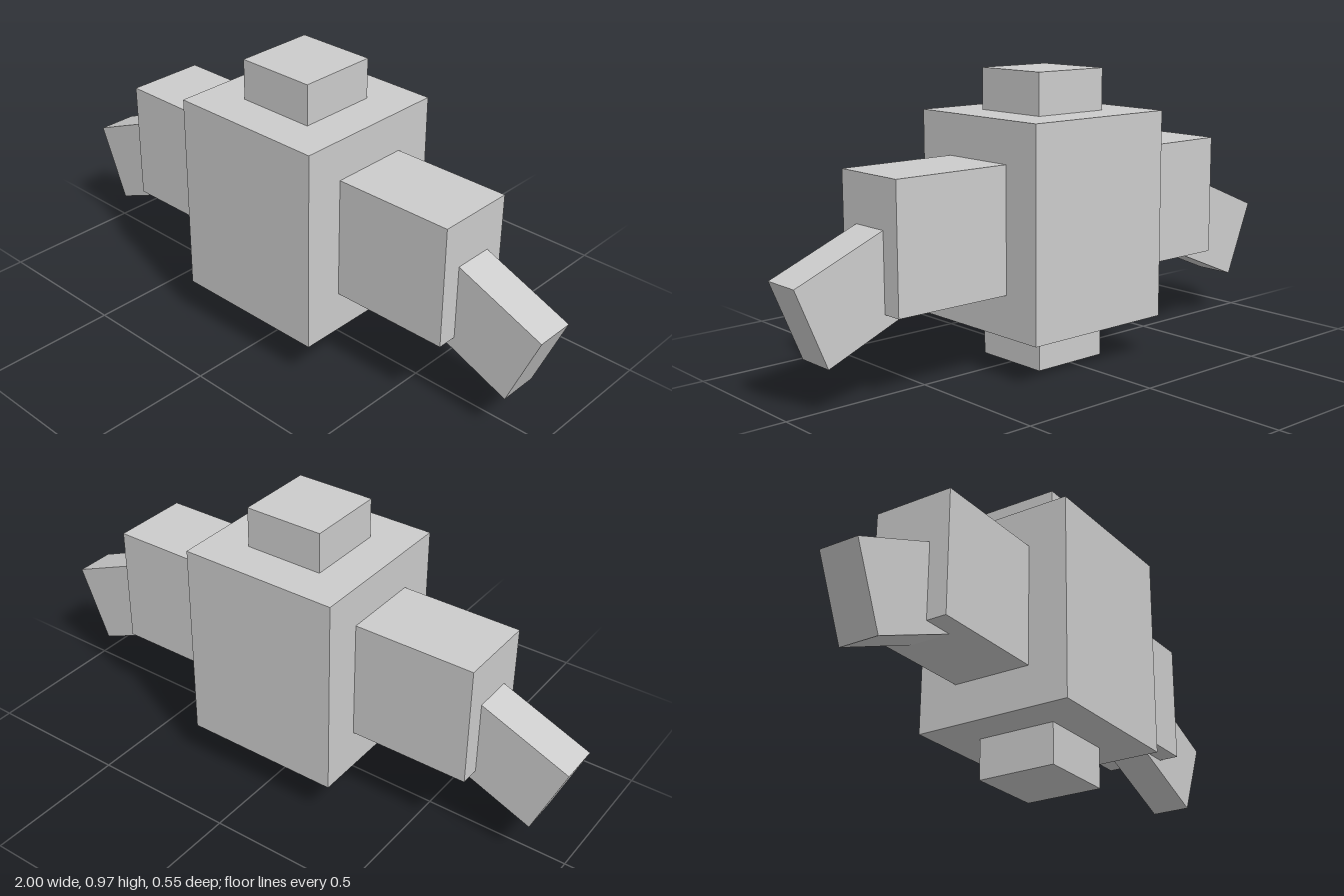
import * as THREE from 'three';

const U = 0.1386; // block unit

export function createModel() {
  const model = new THREE.Group();
  const grey = new THREE.MeshStandardMaterial({ color: 0xcccccc });
  grey.name = 'light grey';

  // Box sized in block units, centred at x, y
  const block = (name, w, h, d, x, y, tilt = 0) => {
    const mesh = new THREE.Mesh(new THREE.BoxGeometry(w * U, h * U, d * U), grey);
    mesh.name = name;
    mesh.position.set(x, y, 0);
    mesh.rotation.z = tilt;
    model.add(mesh);
  };

  // Central column
  block('base', 2, 1, 2, 0, 0.5 * U);
  block('body', 4, 5, 4, 0, 3.5 * U);
  block('topCap', 2, 1, 2, 0, 6.5 * U);

  // Mirrored arms with drooping tips
  for (const [side, s] of [['left', 1], ['right', -1]]) {
    block(side + 'Arm', 3, 3, 2, s * 3.5 * U, 3.5 * U);
    block(side + 'ArmTip', 3, 2, 1, s * 0.755, 0.357, -s * Math.PI / 8);
  }
  return model;
}
